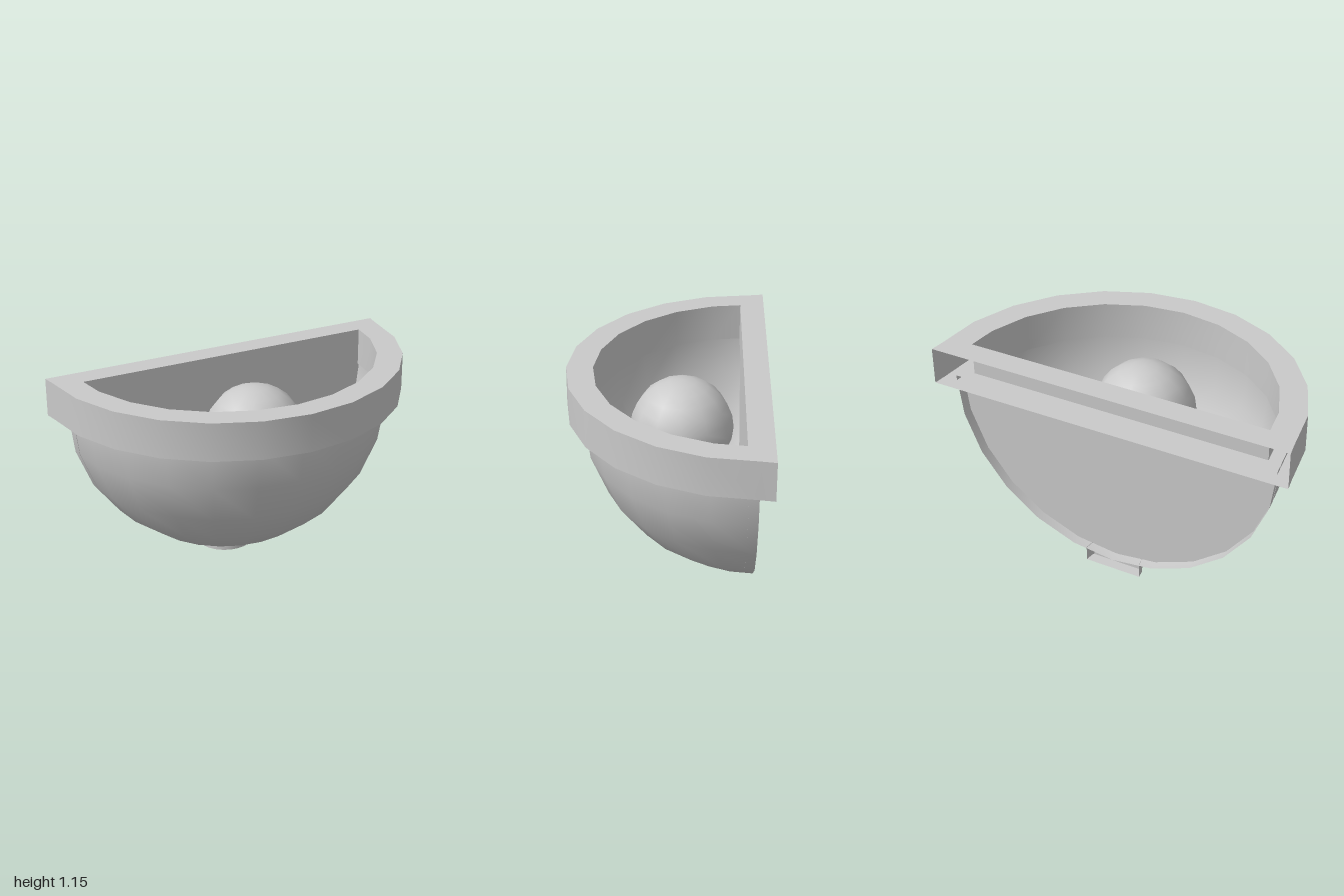
import * as THREE from 'three';
import { toCreasedNormals } from 'three/addons/utils/BufferGeometryUtils.js';

const RIM_BOTTOM = 0.948, RIM_TOP = 1.155, BOWL_TOP = 0.976, BACK = -0.397, AXIS_Z = -0.458;

// Half-round plan outline (x, z), ending in two back corners
function outline(radius, backX, backZ) {
  const pts = [new THREE.Vector2(-backX, backZ)];
  for (let i = -6; i <= 6; i++) {
    const a = i * Math.PI / 12;
    const z = AXIS_Z + radius * Math.cos(a);
    if (z > backZ + 0.001) pts.push(new THREE.Vector2(radius * Math.sin(a), z));
  }
  pts.push(new THREE.Vector2(backX, backZ));
  return pts;
}

// Flat plate between two plan outlines
function plate(outer, inner) {
  const shape = new THREE.Shape(outer);
  shape.holes.push(new THREE.Path(inner));
  return new THREE.ShapeGeometry(shape).rotateX(Math.PI / 2);
}

// Upright wall following a plan outline
function wall(pts, y0, y1) {
  const pos = [], index = [];
  pts.forEach((p, i) => {
    pos.push(p.x, y0, p.y, p.x, y1, p.y);
    if (i) {
      const a = 2 * (i - 1);
      index.push(a, a + 2, a + 1, a + 1, a + 2, a + 3);
    }
  });
  const g = new THREE.BufferGeometry();
  g.setAttribute('position', new THREE.Float32BufferAttribute(pos, 3));
  g.setIndex(index);
  return toCreasedNormals(g, 0.7);
}

// Lower quarter of a sphere, trimmed at a back plane
function quarterBowl(radius, backZ) {
  const g = new THREE.SphereGeometry(radius, 12, 6, 0, Math.PI, Math.PI / 2, Math.PI / 2);
  g.translate(0, BOWL_TOP, AXIS_Z);
  const p = g.attributes.position;
  for (let i = 0; i < p.count; i++) p.setZ(i, Math.max(p.getZ(i), backZ));
  return g;
}

export function createModel() {
  const model = new THREE.Group();
  const grey = new THREE.MeshStandardMaterial({ color: 0xcacaca, side: THREE.DoubleSide });
  grey.name = 'light grey';
  const add = (name, geometry, x = 0, y = 0, z = 0) => {
    const mesh = new THREE.Mesh(geometry, grey);
    mesh.name = name;
    mesh.position.set(x, y, z);
    model.add(mesh);
  };

  // Hollow rim, open at the back
  const outer = outline(0.988, 1, -0.53);
  const inner = outline(0.847, 0.84, BACK);
  const rimPlate = plate(outer, inner);
  add('rimOuterWall', wall(outer, RIM_BOTTOM, RIM_TOP));
  add('rimInnerWall', wall([...inner, inner[0]], RIM_BOTTOM, RIM_TOP));
  add('rimTop', rimPlate, 0, RIM_TOP, 0);
  add('rimBottom', rimPlate, 0, RIM_BOTTOM, 0);

  // Bowl skins, the lip joining them inside the rim, and the recessed back panel
  const backPanelZ = BACK - 0.008;
  add('bowlOutside', quarterBowl(0.915, -1));
  add('bowlInside', quarterBowl(0.858, backPanelZ));
  add('bowlLip', plate(outline(0.915, 0.915, AXIS_Z), inner), 0, BOWL_TOP, 0);
  add('backPanel', new THREE.CircleGeometry(0.91, 12, Math.PI, Math.PI), 0, BOWL_TOP, backPanelZ - 0.002);

  // Half-round foot, open at the back
  const foot = new THREE.CylinderGeometry(0.16, 0.16, 0.085, 12, 1, true, -Math.PI / 2, Math.PI);
  add('footWall', foot, 0, 0.0425, -0.454);
  const base = new THREE.CircleGeometry(0.16, 12, 0, Math.PI).rotateX(Math.PI / 2);
  add('footBottom', base, 0, 0, -0.454);
  add('footPanel', new THREE.PlaneGeometry(0.29, 0.085), 0, 0.0425, BACK);

  // Globe inside the bowl
  add('globe', new THREE.SphereGeometry(0.275, 12, 12), 0, 0.812, -0.077);
  return model;
}
